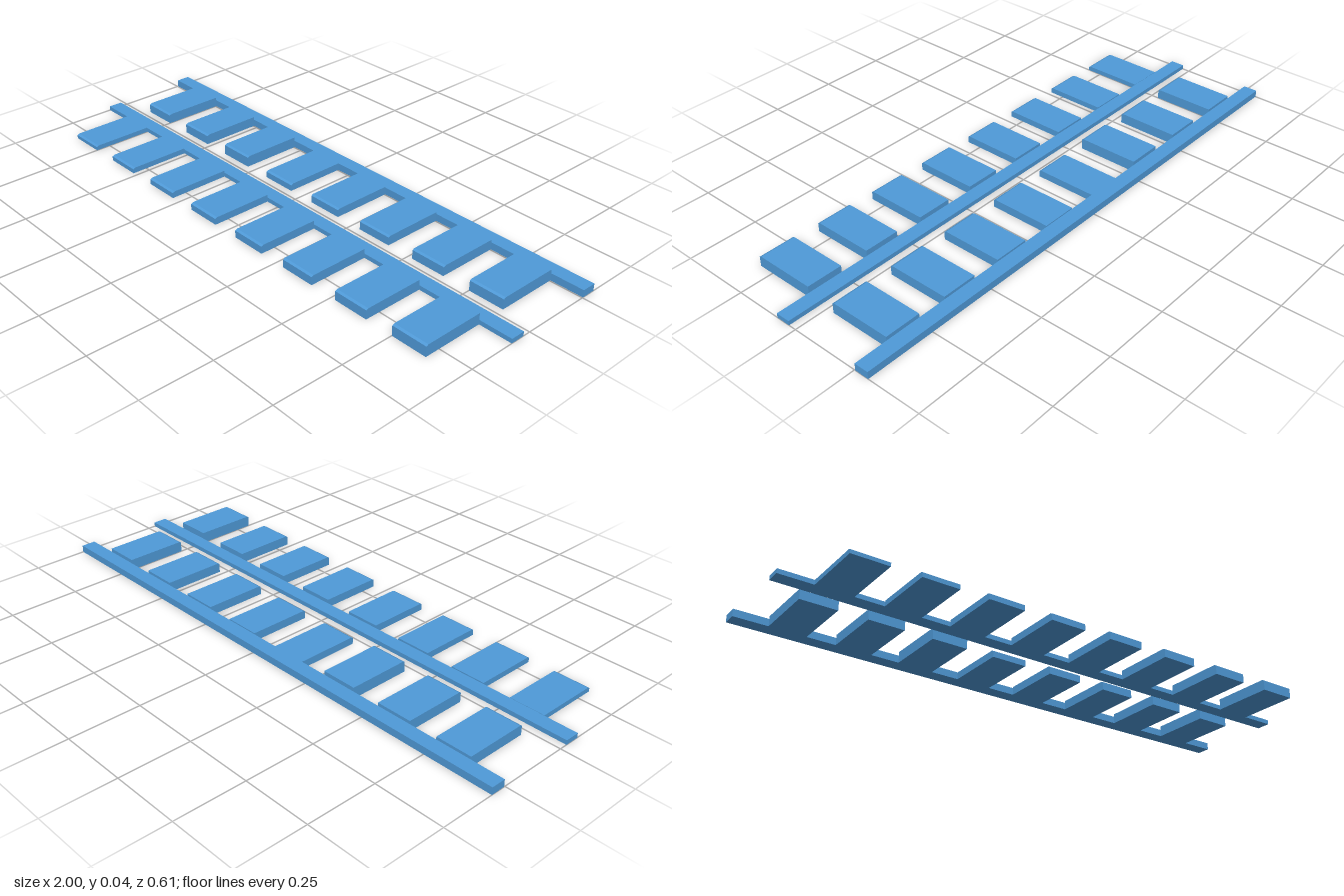
import * as THREE from 'three';

const LENGTH = 2, RAIL_DEPTH = 0.052, TOOTH_WIDTH = 0.13, TOOTH_PITCH = 0.2329, TOOTH_DEPTH = 0.225;
const material = new THREE.MeshStandardMaterial({ color: 0x4f9ad8, flatShading: true });

// Flat tab with a small chamfer along its upper front edge
function makeTooth(height) {
  const bevelZ = 0.008, bevelY = 0.004;
  const profile = new THREE.Shape([
    new THREE.Vector2(0, 0),
    new THREE.Vector2(TOOTH_DEPTH, 0),
    new THREE.Vector2(TOOTH_DEPTH, height - bevelY),
    new THREE.Vector2(TOOTH_DEPTH - bevelZ, height),
    new THREE.Vector2(0, height),
  ]);
  const geometry = new THREE.ExtrudeGeometry(profile, { depth: TOOTH_WIDTH, bevelEnabled: false });
  geometry.translate(0, 0, -TOOTH_WIDTH / 2);
  geometry.rotateY(-Math.PI / 2); // profile direction becomes +z
  return new THREE.Mesh(geometry, material);
}

// Rail with a row of teeth of individual thickness
function makeComb(name, backZ, railHeight, heights) {
  const comb = new THREE.Group();
  comb.name = name;
  const rail = new THREE.Mesh(new THREE.BoxGeometry(LENGTH, railHeight, RAIL_DEPTH), material);
  rail.name = 'rail';
  rail.position.set(0, railHeight / 2, backZ + RAIL_DEPTH / 2);
  comb.add(rail);
  heights.forEach((height, i) => {
    const tooth = makeTooth(height);
    tooth.name = `tooth${i + 1}`;
    tooth.position.set((i - (heights.length - 1) / 2) * TOOTH_PITCH, 0, backZ + RAIL_DEPTH);
    comb.add(tooth);
  });
  return comb;
}

export function createModel() {
  const model = new THREE.Group();
  model.name = 'thicknessGaugeCombs';
  model.add(
    makeComb('frontComb', 0.028, 0.016, [0.017, 0.02, 0.023, 0.026, 0.03, 0.033, 0.036, 0.04]),
    makeComb('backComb', -0.305, 0.026, [0.036, 0.037, 0.04, 0.026, 0.03, 0.033, 0.036, 0.04]),
  );
  return model;
}
